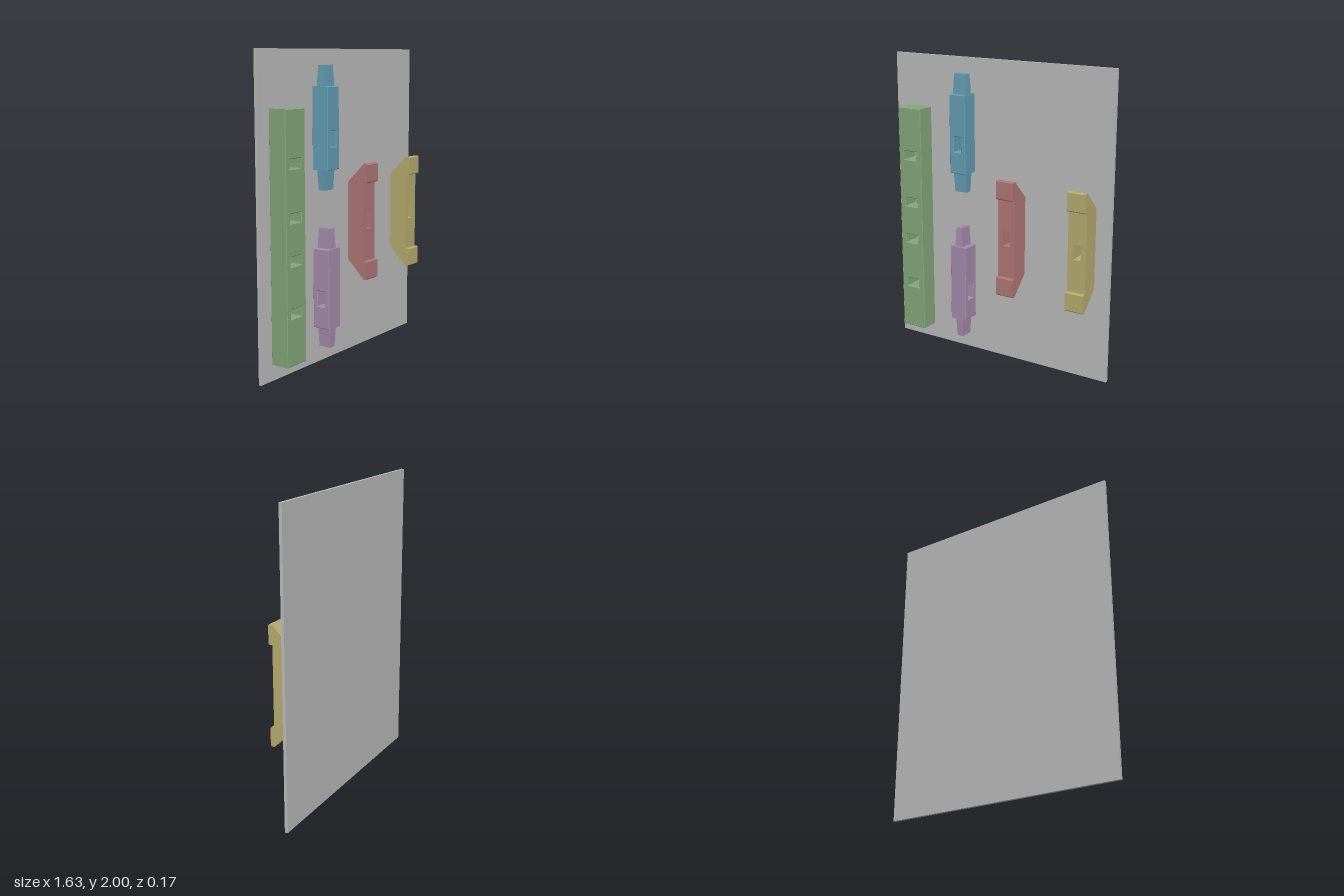
import * as THREE from 'three';

const BACK = -0.065; // front face of the board, where every part rests
const BEVEL = 0.004;

const paint = (name, color) => {
  const m = new THREE.MeshStandardMaterial({ color });
  m.name = name;
  return m;
};

function addMesh(parent, name, geometry, material, x = 0, y = 0, z = 0) {
  const mesh = new THREE.Mesh(geometry, material);
  mesh.name = name;
  mesh.position.set(x, y, z);
  parent.add(mesh);
  return mesh;
}

function rect(Type, w, h, y = 0) {
  const p = new Type();
  p.moveTo(-w / 2, y - h / 2);
  p.lineTo(w / 2, y - h / 2);
  p.lineTo(w / 2, y + h / 2);
  p.lineTo(-w / 2, y + h / 2);
  p.closePath();
  return p;
}

// Centred bar with mortises cut through its depth; holes are [w, h, y]
function mortisedBar(w, h, d, holes, bevel = BEVEL) {
  const shape = rect(THREE.Shape, w, h);
  for (const hole of holes) shape.holes.push(rect(THREE.Path, ...hole));
  const geo = new THREE.ExtrudeGeometry(shape, {
    depth: d - 2 * bevel, bevelEnabled: bevel > 0, bevelThickness: bevel,
    bevelSize: bevel, bevelOffset: -bevel, bevelSegments: 1,
  });
  return geo.translate(0, 0, -(d - 2 * bevel) / 2);
}

// Box narrowing towards its upper end, starting at y = 0
function taperedTenon(w, d, tipW, tipD, h) {
  const geo = new THREE.BoxGeometry(w, h, d).translate(0, h / 2, 0);
  const p = geo.attributes.position;
  for (let i = 0; i < p.count; i++) {
    if (p.getY(i) > h / 2) p.setXYZ(i, p.getX(i) * tipW / w, h, p.getZ(i) * tipD / d);
  }
  geo.computeVertexNormals();
  return geo;
}

// Rail with one mortise and a tenon at each end
function rail(name, material, w, d, tenon) {
  const g = new THREE.Group();
  g.name = name;
  addMesh(g, 'railBody', mortisedBar(w, 0.516, d, [[0.056, 0.1, -0.065]]), material);
  for (const s of [1, -1]) {
    const t = addMesh(g, 'railTenon', taperedTenon(...tenon, 0.13), material, 0, s * 0.257, 0);
    if (s < 0) t.rotation.z = Math.PI;
  }
  return g;
}

// Bracket with a mortised middle and two lipped, slanted ends
function bracket(name, material) {
  const g = new THREE.Group();
  g.name = name;
  const w = 0.126, front = 0.06, lip = 0.086, c = 0.006;
  addMesh(g, 'bracketMiddle', mortisedBar(w, 0.52, front - BACK, [[0.055, 0.1, 0]], 0),
    material, 0, 0, (front + BACK) / 2);
  // Side profile of an end, as [z, height]
  const profile = [[BACK, 0], [lip - c, 0], [lip, c], [lip, 0.125 - c], [lip - c, 0.125], [front, 0.125]];
  const shape = new THREE.Shape(profile.map(([z, y]) => new THREE.Vector2(-z, y)));
  for (const s of [1, -1]) {
    const geo = new THREE.ExtrudeGeometry(shape, { depth: w, bevelEnabled: false });
    geo.translate(0, 0, -w / 2).rotateY(Math.PI / 2);
    if (s < 0) { // mirror downwards, keeping the faces outward
      geo.scale(1, -1, 1);
      const p = geo.attributes.position;
      for (let i = 0; i < p.count; i += 3) {
        const a = [p.getX(i), p.getY(i), p.getZ(i)];
        p.setXYZ(i, p.getX(i + 1), p.getY(i + 1), p.getZ(i + 1));
        p.setXYZ(i + 1, ...a);
      }
      geo.computeVertexNormals();
    }
    addMesh(g, 'bracketEnd', geo, material, 0, s * 0.26, 0);
  }
  return g;
}

export function createModel() {
  const model = new THREE.Group();
  model.name = 'joineryBoard';

  // Backing board
  addMesh(model, 'board', new THREE.BoxGeometry(1.626, 2, 0.02),
    paint('grey', 0xbcbcbc), 0, 1, -0.075);

  // Post with four mortises
  const postY = 0.88;
  const mortises = [1.333, 1.01, 0.75, 0.43].map((y) => [0.102, 0.06, y - postY]);
  addMesh(model, 'post', mortisedBar(0.18, 1.55, 0.126, mortises),
    paint('green', 0x84a87a), -0.624, postY, -0.002);

  // Upper rail, mortised front to back
  const upper = rail('upperRail', paint('blue', 0x639fb5), 0.119, 0.119, [0.1, 0.058, 0.086, 0.048]);
  upper.position.set(-0.244, 1.515, -0.0055);
  model.add(upper);

  // Lower rail, turned so its mortise runs side to side
  const lower = rail('lowerRail', paint('purple', 0xa78cae), 0.125, 0.119, [0.1, 0.056, 0.086, 0.046]);
  lower.position.set(-0.244, 0.5, -0.0025);
  lower.rotation.y = Math.PI / 2;
  model.add(lower);

  // Pair of brackets
  const pair = [['redBracket', 'red', 0xb07877, 0.137], ['yellowBracket', 'yellow', 0xb7ad6f, 0.645]];
  for (const [name, colourName, color, x] of pair) {
    const b = bracket(name, paint(colourName, color));
    b.position.set(x, 0.88, 0);
    model.add(b);
  }
  return model;
}
